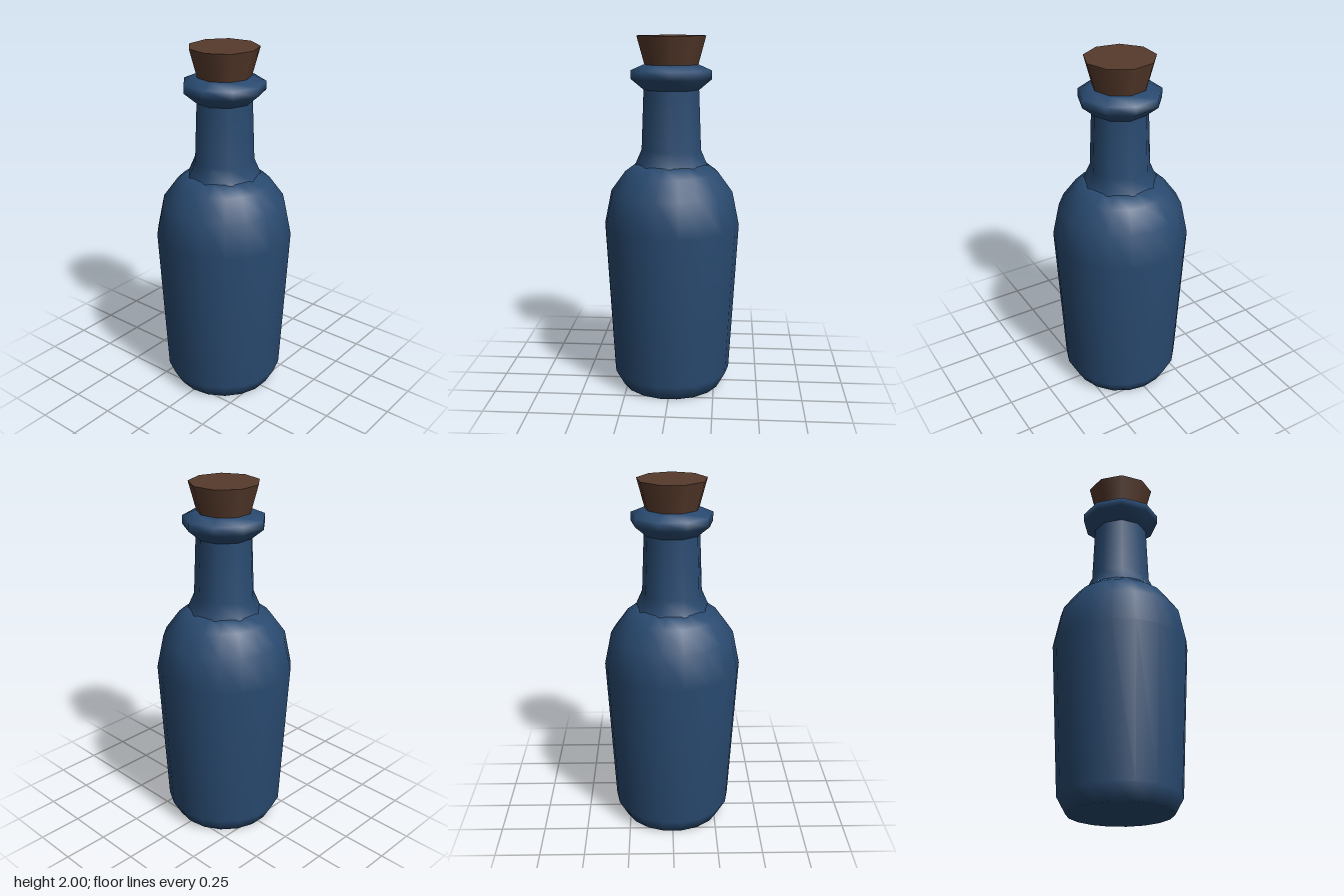
import * as THREE from 'three';

const glass = new THREE.MeshStandardMaterial({ color: 0x294a70 });
const corkMaterial = new THREE.MeshStandardMaterial({ color: 0x563a2b });

// Revolve a [radius, height] profile, listed from bottom to top
function turned(name, profile, sides, start = 0) {
  const points = profile.map(([r, y]) => new THREE.Vector2(r, y));
  const mesh = new THREE.Mesh(new THREE.LatheGeometry(points, sides, start), glass);
  mesh.name = name;
  return mesh;
}

export function createModel() {
  const bottle = new THREE.Group();
  bottle.name = 'bottle';

  // Tapered body with a chamfered foot and rounded shoulder
  bottle.add(turned('body', [
    [0, 0], [0.285, 0], [0.335, 0.09], [0.382, 0.95],
    [0.343, 1.14], [0.263, 1.25], [0.197, 1.3], [0, 1.3],
  ], 18, Math.PI / 2));

  // Neck flaring into the shoulder
  bottle.add(turned('neck', [[0.205, 1.295], [0.168, 1.38], [0.155, 1.71]], 9));

  // Thick lip ring, closed under the cork
  bottle.add(turned('lip', [
    [0.15, 1.705], [0.225, 1.768], [0.225, 1.815], [0.155, 1.845], [0, 1.845],
  ], 9));

  // Cork stopper
  const cork = new THREE.Mesh(new THREE.CylinderGeometry(0.192, 0.148, 0.16, 9), corkMaterial);
  cork.name = 'cork';
  cork.position.y = 1.92;
  bottle.add(cork);

  return bottle;
}
